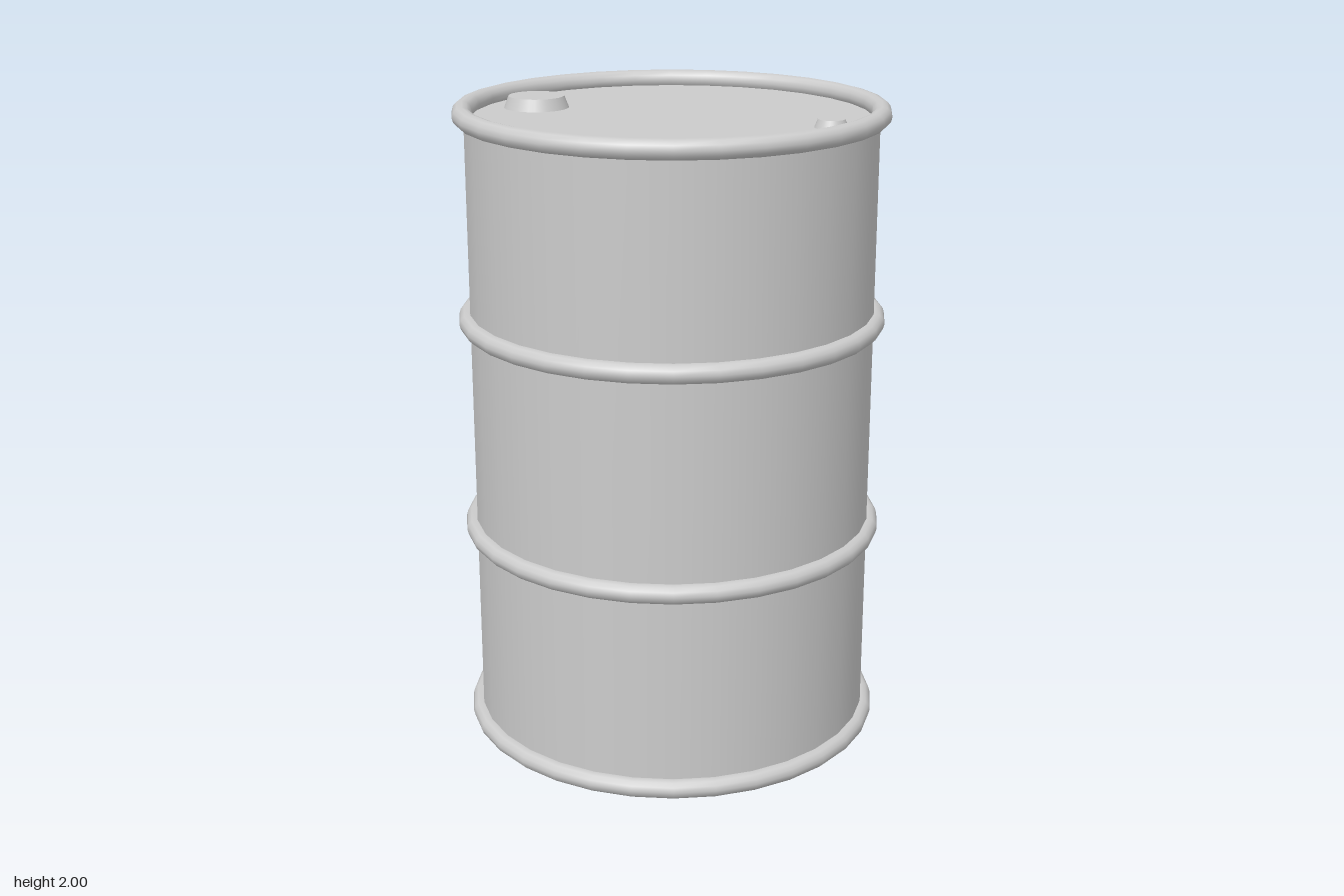
import * as THREE from 'three';

const SIDES = 32;

export function createModel() {
  const group = new THREE.Group();
  const material = new THREE.MeshStandardMaterial({ color: 0xcccccc });

  const add = (name, geometry, x, y) => {
    const mesh = new THREE.Mesh(geometry, material);
    mesh.name = name;
    mesh.position.set(x, y, 0);
    group.add(mesh);
  };

  // Drum wall with flat bottom and a lid sunk slightly below the top rim
  const lidY = 1.952;
  add('drumBody', new THREE.CylinderGeometry(0.625, 0.625, lidY, SIDES), 0, lidY / 2);

  // Rolled rims at both ends and two rolling hoops between them
  const ring = new THREE.TorusGeometry(0.629, 0.03, 12, SIDES).rotateX(Math.PI / 2);
  const rings = { bottomRim: 0.031, lowerHoop: 0.67, upperHoop: 1.34, topRim: 1.97 };
  for (const [name, y] of Object.entries(rings)) add(name, ring, 0, y);

  // Tapered bung caps on the lid
  const addBung = (name, x, top, base, height) =>
    add(name, new THREE.CylinderGeometry(top, base, height, SIDES), x, lidY + height / 2);
  addBung('largeBung', -0.45, 0.086, 0.1, 0.036);
  addBung('smallBung', 0.5, 0.04, 0.05, 0.025);

  return group;
}
